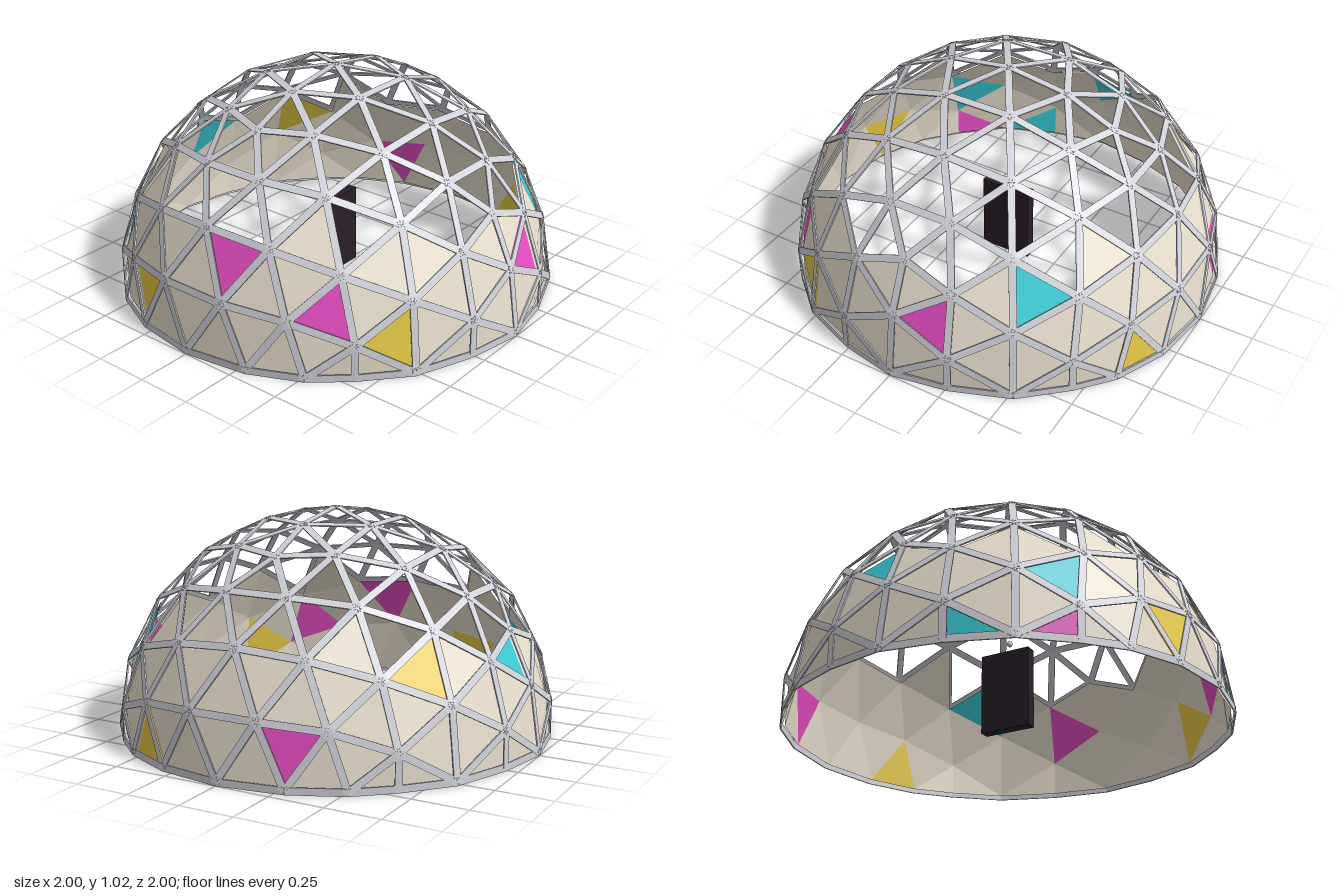
import * as THREE from 'three';
import { mergeGeometries } from 'three/addons/utils/BufferGeometryUtils.js';

const RADIUS = 0.997;      // strut centre line
const STRUT_WIDTH = 0.032;
const PANEL_RADIUS = 0.979;
const PANEL_TOP = 0.545;   // triangles centred below this height are panelled

const material = (name, color, side = THREE.FrontSide) => {
  const m = new THREE.MeshStandardMaterial({ color, side });
  m.name = name;
  return m;
};

// Accent panels, each given by the direction of its centre
const ACCENTS = {
  pink: [[0.17, 0.29, 0.92], [-0.756, 0.271, 0.571], [-0.87, 0.43, 0.157], [0.923, 0.167, -0.3], [-0.653, 0.05, -0.742]],
  cyan: [[0.538, 0.441, 0.695], [0.08, 0.41, -0.89], [-0.635, 0.294, -0.693], [-0.35, 0.054, -0.92]],
  yellow: [[-0.58, 0.152, 0.78], [0.89, 0.08, 0.42], [0.538, 0.441, -0.695], [-0.923, 0.167, -0.3]],
};

// Upper half of a four-way divided icosahedron, cut flat at the equator
function domeTriangles() {
  const pos = new THREE.IcosahedronGeometry(1, 3).getAttribute('position');
  const triangles = [];
  for (let i = 0; i < pos.count; i += 3) {
    const tri = [0, 1, 2].map((k) => new THREE.Vector3().fromBufferAttribute(pos, i + k));
    if (Math.max(...tri.map((v) => v.y)) < 0.01) continue;
    tri.forEach((v) => { if (v.y < 0.01) v.y = 0; });
    triangles.push(tri);
  }
  return triangles;
}

const centre = (tri) => tri[0].clone().add(tri[1]).add(tri[2]).divideScalar(3);
const key = (v) => v.toArray().map((n) => Math.round(n * 500) + 0).join(',');

function collectEdges(triangles) {
  const edges = new Map();
  for (const t of triangles) {
    for (let k = 0; k < 3; k++) {
      const a = t[k], b = t[(k + 1) % 3];
      edges.set([key(a), key(b)].sort().join('|'), [a, b]);
    }
  }
  return [...edges.values()];
}

// Thin flat bar from a to b, its broad face turned outwards
function strut([a, b]) {
  const p = a.clone().multiplyScalar(RADIUS), q = b.clone().multiplyScalar(RADIUS);
  const along = q.clone().sub(p);
  const length = along.length();
  along.normalize();
  const mid = p.clone().add(q).multiplyScalar(0.5);
  const out = mid.clone().addScaledVector(along, -mid.dot(along)).normalize();
  const across = new THREE.Vector3().crossVectors(along, out);
  const g = new THREE.BoxGeometry(STRUT_WIDTH, length, 0.006);
  return g.applyMatrix4(new THREE.Matrix4().makeBasis(across, along, out).setPosition(mid));
}

function panelGeometry(triangles) {
  const g = new THREE.BufferGeometry();
  g.setFromPoints(triangles.flat().map((v) => v.clone().multiplyScalar(PANEL_RADIUS)));
  g.computeVertexNormals();
  return g;
}

export function createModel() {
  const group = new THREE.Group();
  const mats = {
    strut: material('strut grey', 0xd0d0d8),
    canvas: material('canvas beige', 0xebe1cf, THREE.DoubleSide),
    pink: material('panel pink', 0xe94ec6, THREE.DoubleSide),
    cyan: material('panel cyan', 0x38ccd8, THREE.DoubleSide),
    yellow: material('panel yellow', 0xe6c944, THREE.DoubleSide),
    dark: material('dark plum', 0x2a1f2b),
  };
  const add = (parent, name, geometry, mat) => {
    const mesh = new THREE.Mesh(geometry, mat);
    mesh.name = name;
    parent.add(mesh);
    return mesh;
  };

  const dome = new THREE.Group();
  dome.name = 'dome';
  dome.position.y = STRUT_WIDTH / 2;   // the base ring stands on the ground
  group.add(dome);

  // Open lattice of struts
  const triangles = domeTriangles();
  add(dome, 'struts', mergeGeometries(collectEdges(triangles).map(strut)), mats.strut);

  // Panels, sorted by colour
  const panelled = triangles.filter((t) => centre(t).y < PANEL_TOP);
  const colourOf = new Map();
  for (const [colour, centres] of Object.entries(ACCENTS)) {
    for (const c of centres) {
      const target = new THREE.Vector3(...c);
      const nearest = panelled.reduce((best, t) =>
        centre(t).distanceTo(target) < centre(best).distanceTo(target) ? t : best);
      colourOf.set(nearest, colour);
    }
  }
  for (const colour of ['canvas', 'pink', 'cyan', 'yellow']) {
    const set = panelled.filter((t) => (colourOf.get(t) || 'canvas') === colour);
    add(dome, colour + 'Panels', panelGeometry(set), mats[colour]);
  }

  // Standing slab in the middle with a small ball above it
  add(group, 'slab', new THREE.BoxGeometry(0.24, 0.37, 0.05), mats.dark).position.y = 0.19;
  add(group, 'ball', new THREE.SphereGeometry(0.014, 12, 8), mats.strut).position.set(0, 0.43, 0.02);

  return group;
}
